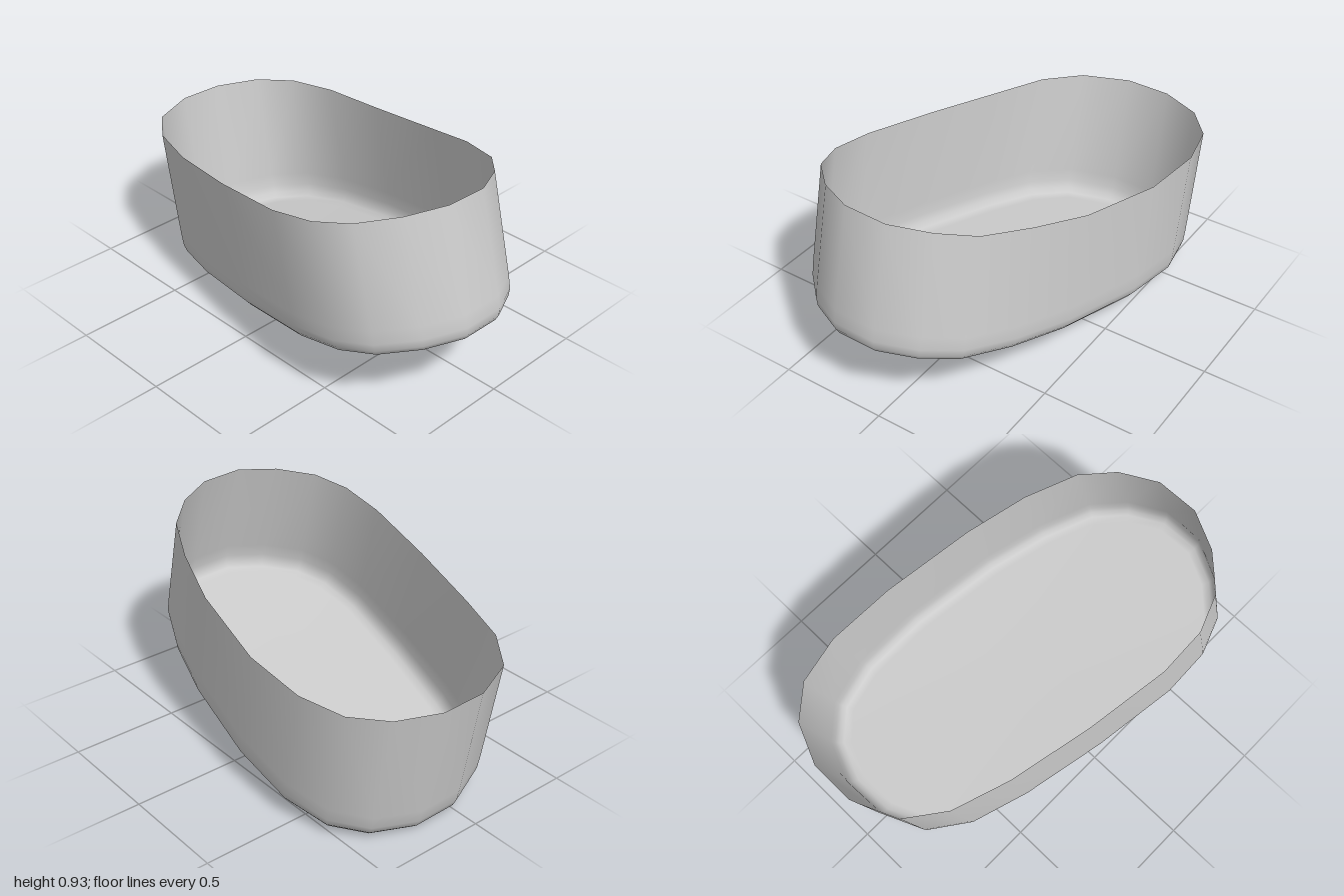
import * as THREE from 'three';

// Rim loop, clockwise from above, starting at the back: x, y, z
const RIM = [
  [0.01, 0.647, -1], [0.22, 0.643, -1], [0.41, 0.642, -0.92], [0.53, 0.643, -0.78],
  [0.58, 0.65, -0.56], [0.567, 0.672, -0.24], [0.49, 0.745, 0.18], [0.405, 0.815, 0.45],
  [0.3, 0.865, 0.67], [0.17, 0.9, 0.79], [0, 0.922, 0.87], [-0.2, 0.93, 0.87],
  [-0.37, 0.915, 0.79], [-0.51, 0.888, 0.66], [-0.572, 0.855, 0.5], [-0.575, 0.812, 0.28],
  [-0.51, 0.748, -0.1], [-0.42, 0.69, -0.48], [-0.33, 0.668, -0.74], [-0.2, 0.652, -0.91],
];

// Rounded bottom edge: height above the floor, inset from the wall
const EDGE = [[0.13, 0], [0.07, 0.001], [0.035, 0.01], [0.012, 0.028], [0, 0.06]];

// Tilted, slightly sagging floor
const floorY = (x, z) => 0.163 + 0.182 * z - 0.025 * x - 0.012 * (1 - z * z);

// Loop of the tub at a given height above the floor, walls leaning with the tilt
function loopAt(height, inset) {
  const n = RIM.length;
  return RIM.map(([x, y, z], i) => {
    const before = RIM[(i + n - 1) % n], after = RIM[(i + 1) % n];
    const tx = after[0] - before[0], tz = after[2] - before[2];
    const len = Math.hypot(tx, tz);
    const drop = (y - floorY(x, z) - height) / 1.04;
    const leaned = z + 0.215 * drop;
    const px = x - (tz / len) * inset;
    const pz = leaned + (leaned - 0.05) * 0.018 + (tx / len) * inset;
    return [px, floorY(px, pz) + height, pz];
  });
}

// Skin the loops from rim to floor and close the floor with a fan
function tubGeometry() {
  const loops = [RIM, ...EDGE.map(([h, inset]) => loopAt(h, inset))];
  const n = RIM.length;
  const index = [];
  for (let r = 0; r < loops.length - 1; r++) {
    for (let i = 0; i < n; i++) {
      const j = (i + 1) % n;
      const a = r * n + i, b = r * n + j, c = b + n, d = a + n;
      index.push(a, b, d, b, c, d);
    }
  }
  const last = (loops.length - 1) * n, centre = loops.length * n;
  for (let i = 0; i < n; i++) index.push(last + i, last + ((i + 1) % n), centre);

  const points = [...loops.flat(), [0, floorY(0, 0.05), 0.05]].flat();
  const geometry = new THREE.BufferGeometry();
  geometry.setAttribute('position', new THREE.Float32BufferAttribute(points, 3));
  geometry.setIndex(index);
  geometry.computeVertexNormals();
  return geometry;
}

export function createModel() {
  const group = new THREE.Group();
  group.name = 'openTub';
  const material = new THREE.MeshStandardMaterial({ color: 0xcccccc, side: THREE.DoubleSide });
  const shell = new THREE.Mesh(tubGeometry(), material);
  shell.name = 'tubShell';
  group.add(shell);
  return group;
}
